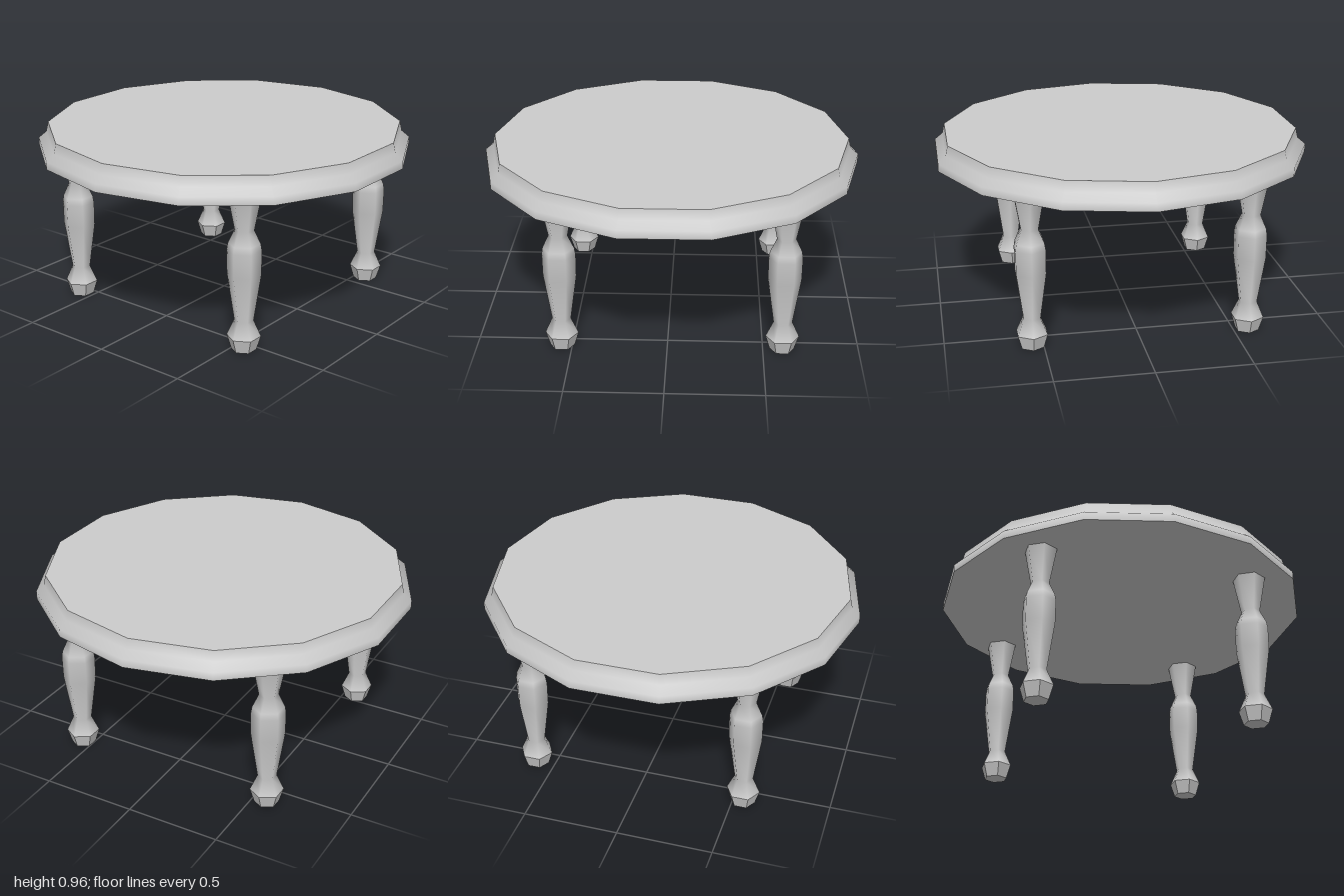
import * as THREE from 'three';

const SIDES = 14;
const LEG_SIDES = 6;
const TOP_Y = 0.965;
const UNDER_Y = 0.834;

const smooth = new THREE.MeshStandardMaterial({ color: 0xcccccc });
const flat = new THREE.MeshStandardMaterial({ color: 0xcccccc, flatShading: true });

function add(parent, name, geometry, material) {
  const mesh = new THREE.Mesh(geometry, material);
  mesh.name = name;
  parent.add(mesh);
  return mesh;
}

// Turned surface from [radius, height] pairs, with a corner on the x axis
function turned(profile, sides) {
  const points = profile.map(([r, y]) => new THREE.Vector2(r, y));
  return new THREE.LatheGeometry(points, sides, Math.PI / 2);
}

function createTabletop() {
  const top = new THREE.Group();
  top.name = 'tabletop';
  // Moulded rim: straight lower band, sloped shoulder, raised upper lip
  const rim = [[1, UNDER_Y], [1, 0.877], [0.958, 0.912], [0.946, TOP_Y]];
  add(top, 'rim', turned(rim, SIDES), smooth);

  const surface = add(top, 'topSurface', new THREE.CircleGeometry(0.946, SIDES), flat);
  surface.rotation.x = -Math.PI / 2;
  surface.position.y = TOP_Y;

  const underside = add(top, 'underside', new THREE.CircleGeometry(1, SIDES), flat);
  underside.rotation.x = Math.PI / 2;
  underside.position.y = UNDER_Y;
  return top;
}

function createLeg(name, x, z) {
  const leg = new THREE.Group();
  leg.name = name;
  // Turned shaft: ankle, long bulge, neck and flared top
  const shaft = [
    [0.087, 0.075], [0.049, 0.16], [0.086, 0.41], [0.087, 0.535],
    [0.081, 0.57], [0.049, 0.64], [0.086, UNDER_Y],
  ];
  add(leg, 'shaft', turned(shaft, LEG_SIDES), smooth);
  // Faceted foot tapering to the floor
  const foot = new THREE.CylinderGeometry(0.087, 0.064, 0.075, LEG_SIDES, 1, false, Math.PI / 2);
  add(leg, 'foot', foot, flat).position.y = 0.0375;
  leg.position.set(x, 0, z);
  return leg;
}

export function createModel() {
  const table = new THREE.Group();
  table.name = 'roundTable';
  table.add(createTabletop());
  // The legs stand slightly off centre
  for (const [side, x] of [['Left', 0.6], ['Right', -0.552]]) {
    for (const [end, z] of [['front', 0.557], ['back', -0.574]]) {
      table.add(createLeg(`${end}${side}Leg`, x, z));
    }
  }
  return table;
}
